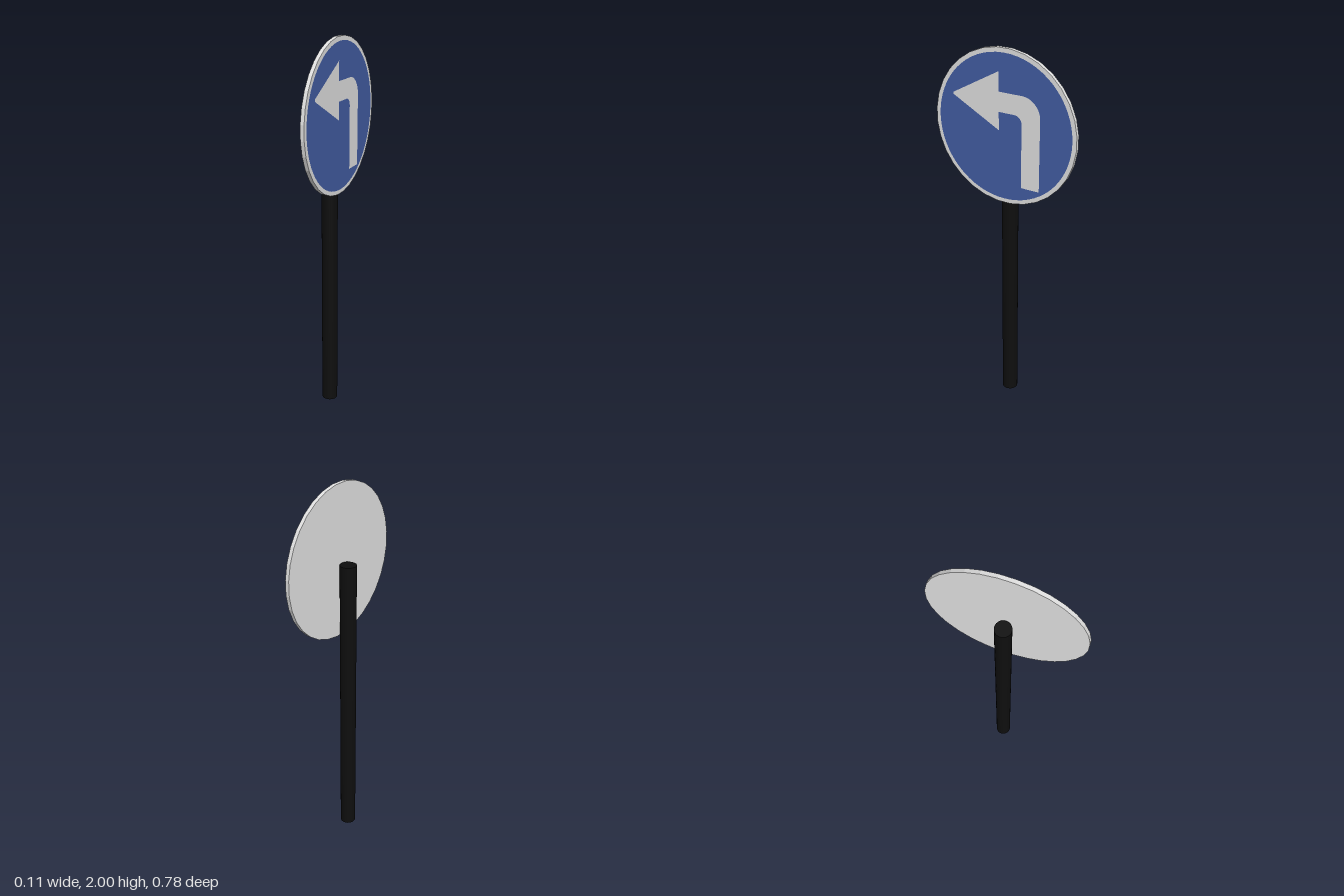
import * as THREE from 'three';

export function createModel() {
  const group = new THREE.Group();
  const material = (name, color, flatShading = false) => {
    const m = new THREE.MeshStandardMaterial({ color, flatShading });
    m.name = name;
    return m;
  };
  const black = material('black', 0x0e0e0e);
  const white = material('white', 0xe0e0e0, true);
  const blue = material('blue', 0x425da3);

  const add = (name, geometry, mat, x, y) => {
    const mesh = new THREE.Mesh(geometry, mat);
    mesh.name = name;
    mesh.position.set(x, y, 0);
    group.add(mesh);
    return mesh;
  };

  const faceX = 0.051, centreY = 1.609, sides = 32;

  // Upright pole
  add('pole', new THREE.CylinderGeometry(0.042, 0.042, 1.605, sides), black, -0.011, 0.8025);

  // Round plate facing +x, its rim and back left white
  const plate = new THREE.CylinderGeometry(0.393, 0.393, 0.02, sides, 1, false, Math.PI / sides);
  plate.rotateZ(-Math.PI / 2);
  add('signPlate', plate, white, faceX - 0.01, centreY);

  // Blue painted field
  const field = new THREE.CircleGeometry(0.37, 64);
  field.rotateY(Math.PI / 2);
  add('blueField', field, blue, faceX + 0.001, centreY);

  // Bent arrow: stem rising, then turning towards +z
  const arrow = new THREE.Shape();
  arrow.moveTo(0.1, 1.32);
  arrow.lineTo(0.2, 1.32);
  arrow.lineTo(0.2, 1.69);
  arrow.absarc(0.1, 1.69, 0.1, 0, Math.PI / 2, false);
  arrow.lineTo(-0.026, 1.79);
  arrow.lineTo(-0.026, 1.888);
  arrow.lineTo(-0.286, 1.745);
  arrow.lineTo(-0.286, 1.735);
  arrow.lineTo(-0.026, 1.597);
  arrow.lineTo(-0.026, 1.69);
  arrow.lineTo(0.06, 1.69);
  arrow.absarc(0.06, 1.65, 0.04, Math.PI / 2, 0, true);
  arrow.closePath();
  const arrowFace = new THREE.ShapeGeometry(arrow, 10);
  arrowFace.rotateY(Math.PI / 2);
  add('turnArrow', arrowFace, white, faceX + 0.002, 0);

  return group;
}
